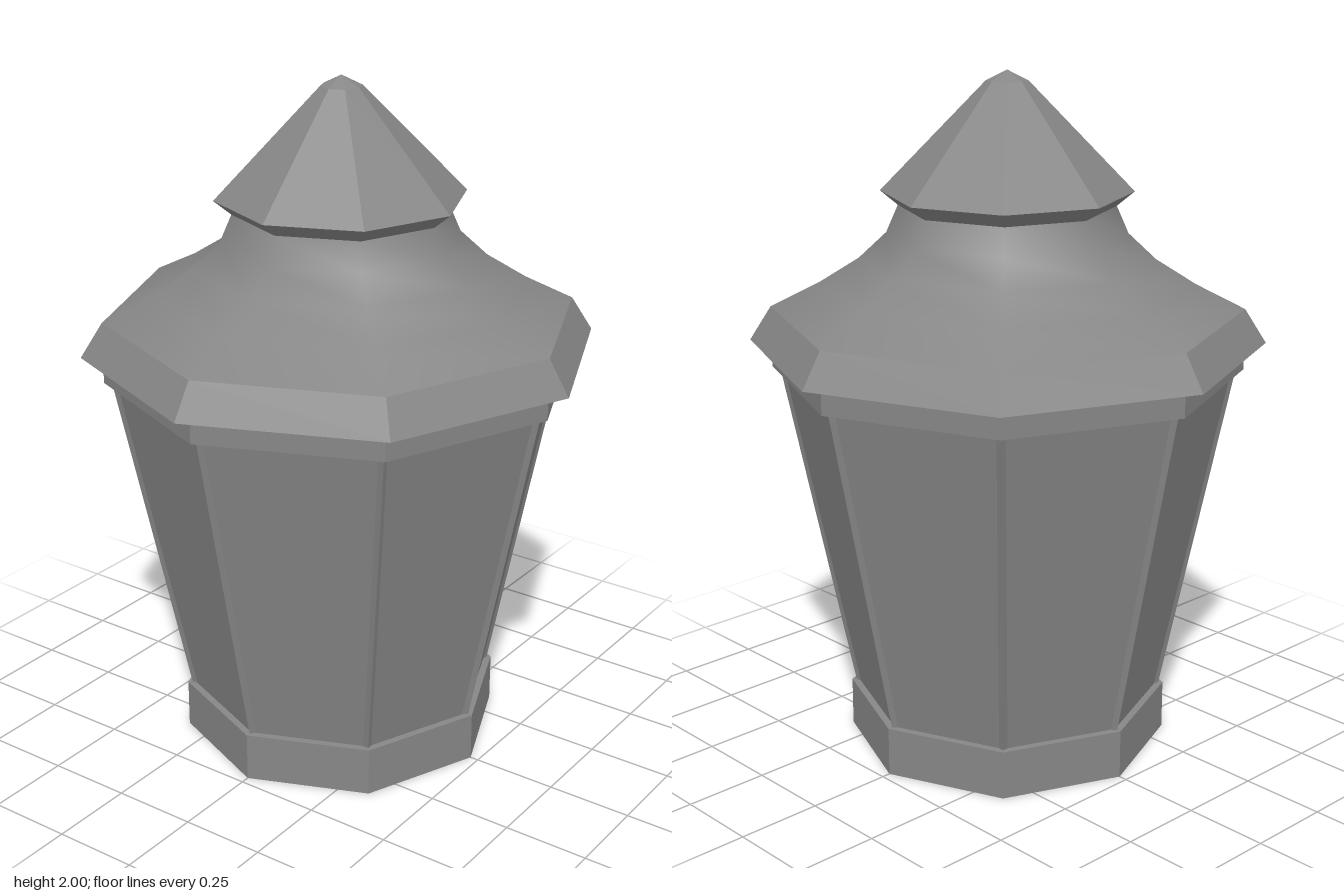
import * as THREE from 'three';
import { toCreasedNormals } from 'three/addons/utils/BufferGeometryUtils.js';

const SIDES = 8;
const GREY = 0x878787;

// Octagonal turned part from a bottom-to-top profile of [radius, y]
function octagon(name, profile, creaseDegrees = 15) {
  const points = profile.map(([r, y]) => new THREE.Vector2(r, y));
  const geometry = toCreasedNormals(new THREE.LatheGeometry(points, SIDES), THREE.MathUtils.degToRad(creaseDegrees));
  const mesh = new THREE.Mesh(geometry, new THREE.MeshStandardMaterial({ color: GREY }));
  mesh.name = name;
  return mesh;
}

// Tapered body: eight flat panes with a thin raised ridge at every corner
function taperedBody(topRadius, bottomRadius, y0, y1) {
  const geometry = new THREE.CylinderGeometry(topRadius, bottomRadius, y1 - y0, SIDES * 3, 1, true);
  const pos = geometry.attributes.position;
  const ridgeHalfWidth = 0.012, ridgeDepth = 0.014;
  for (let i = 0; i < pos.count; i++) {
    const x = pos.getX(i), z = pos.getZ(i);
    const k = Math.round(Math.atan2(x, z) / (Math.PI * 2) * SIDES * 3);
    const corner = Math.round(k / 3);
    const side = k - corner * 3; // -1, 0 or 1 around each corner
    const angle = corner * Math.PI * 2 / SIDES;
    const r = Math.hypot(x, z) - Math.abs(side) * ridgeDepth;
    const t = side * ridgeHalfWidth;
    pos.setX(i, r * Math.sin(angle) + t * Math.cos(angle));
    pos.setZ(i, r * Math.cos(angle) - t * Math.sin(angle));
  }
  geometry.translate(0, (y0 + y1) / 2, 0);
  geometry.computeVertexNormals();
  const mesh = new THREE.Mesh(geometry, new THREE.MeshStandardMaterial({ color: GREY, flatShading: true }));
  mesh.name = 'paneledBody';
  return mesh;
}

export function createModel() {
  const lantern = new THREE.Group();
  lantern.name = 'lantern';
  lantern.add(
    octagon('base', [[0, 0], [0.475, 0], [0.475, 0.145], [0, 0.145]]),
    taperedBody(0.663, 0.462, 0.145, 1.14),
    octagon('rimBand', [[0, 1.14], [0.685, 1.14], [0.685, 1.22], [0, 1.22]]),
    octagon('eave', [[0, 1.22], [0.747, 1.22], [0.684, 1.32]]),
    // Flared roof, smooth up to the neck
    octagon('roof', [
      [0.684, 1.32], [0.54, 1.393], [0.425, 1.465], [0.345, 1.54], [0.31, 1.62],
    ], 60),
    // Pointed cap with an undercut lip and a blunter tip
    octagon('cap', [[0, 1.618], [0.31, 1.618], [0.361, 1.66], [0.06, 1.97], [0, 2]]),
  );
  return lantern;
}
